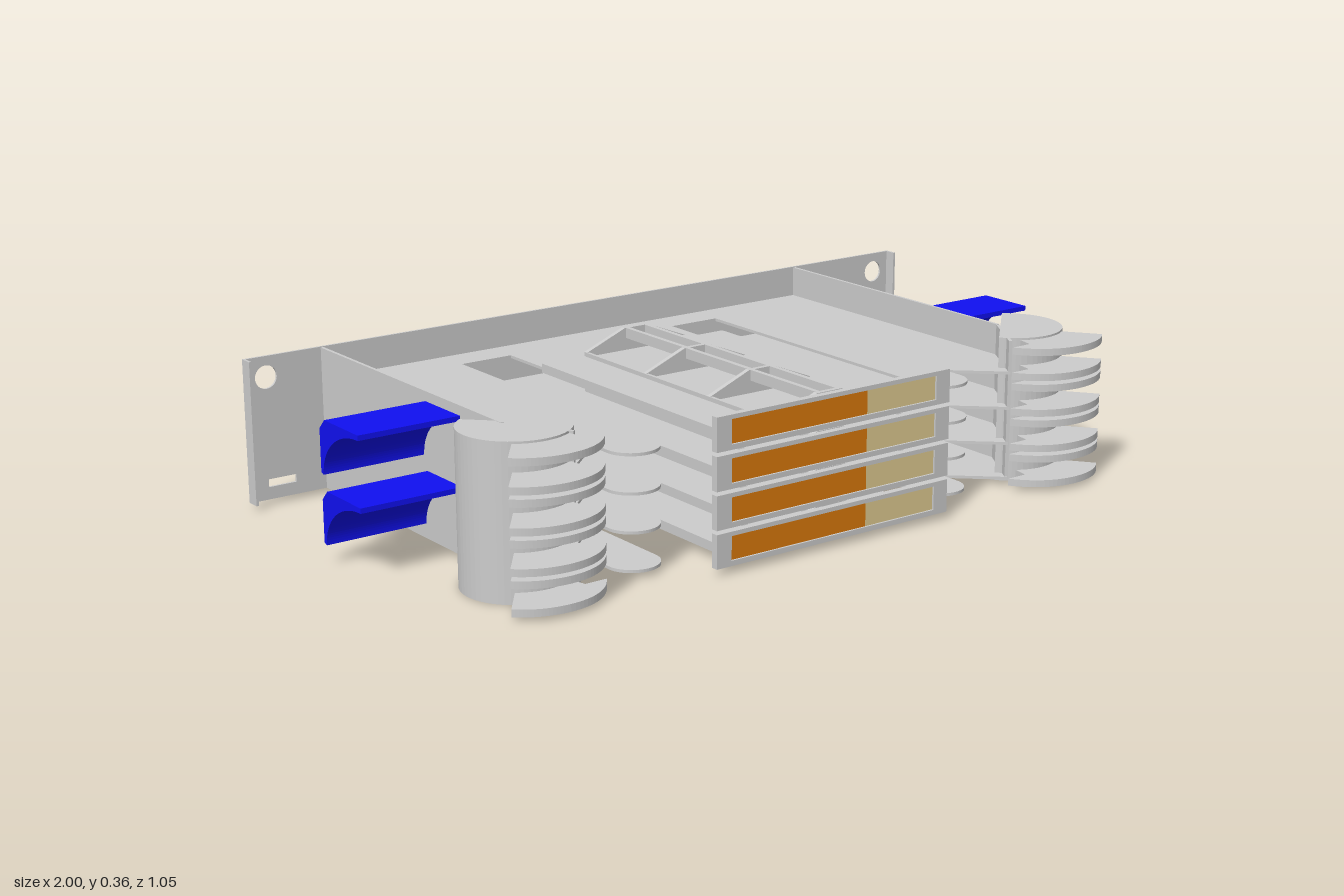
import * as THREE from 'three';

const mat = (color) => new THREE.MeshStandardMaterial({ color, side: THREE.DoubleSide });
const grey = mat(0xcccccc), blue = mat(0x1010f0), orange = mat(0xd9780c), cream = mat(0xdeca90);
const CX = -0.04; // centre line of the chassis
const LEVELS = [0.018, 0.105, 0.192, 0.279]; // floor height of each tray

function add(parent, name, geometry, material = grey) {
  const mesh = new THREE.Mesh(geometry, material);
  mesh.name = name;
  parent.add(mesh);
  return mesh;
}

// Box given by its minimum and maximum corners
function box(parent, name, x0, x1, y0, y1, z0, z1, material) {
  const g = new THREE.BoxGeometry(x1 - x0, y1 - y0, z1 - z0);
  g.translate((x0 + x1) / 2, (y0 + y1) / 2, (z0 + z1) / 2);
  return add(parent, name, g, material);
}

// Horizontal slab from a plan outline drawn in (x, -z)
function slab(parent, name, shape, y, h) {
  const g = new THREE.ExtrudeGeometry(shape, { depth: h, bevelEnabled: false, curveSegments: 16 });
  g.rotateX(-Math.PI / 2).translate(0, y, 0);
  return add(parent, name, g);
}

function rectPath(x0, x1, y0, y1, Type = THREE.Shape) {
  return new Type([[x0, y0], [x1, y0], [x1, y1], [x0, y1]].map((p) => new THREE.Vector2(...p)));
}

// Plan of a shelf: two rounded side tongues, two long slots and a middle tongue
function shelfShape() {
  const s = new THREE.Shape();
  const b = 0.515, c = CX;
  s.moveTo(c - 0.71, b);
  s.lineTo(c - 0.71, -0.27);
  s.lineTo(c - 0.62, -0.41);
  s.lineTo(c - 0.505, -0.305);
  s.lineTo(c - 0.505, -0.36);
  s.absarc(c - 0.4425, -0.36, 0.0625, Math.PI, Math.PI * 2, false);
  s.lineTo(c - 0.38, 0.43);
  s.lineTo(c - 0.242, 0.43);
  s.lineTo(c - 0.242, -0.48);
  s.lineTo(c + 0.242, -0.48);
  s.lineTo(c + 0.242, 0.43);
  s.lineTo(c + 0.38, 0.43);
  s.lineTo(c + 0.38, -0.36);
  s.absarc(c + 0.4425, -0.36, 0.0625, Math.PI, Math.PI * 2, false);
  s.lineTo(c + 0.505, -0.305);
  s.lineTo(c + 0.62, -0.41);
  s.lineTo(c + 0.71, -0.27);
  s.lineTo(c + 0.71, b);
  return s;
}

// Plan of a tray, flaring out towards its front frame
function trayShape() {
  const s = new THREE.Shape();
  s.moveTo(-0.31, 0.25);
  s.lineTo(-0.31, -0.45);
  s.quadraticCurveTo(-0.312, -0.495, -0.36, -0.497);
  s.lineTo(0.28, -0.497);
  s.quadraticCurveTo(0.232, -0.495, 0.225, -0.45);
  s.lineTo(0.225, 0.25);
  return s;
}

function makeTray() {
  const tray = new THREE.Group();
  tray.name = 'tray';
  slab(tray, 'trayFloor', trayShape(), 0.004, 0.022);
  // Front frame with its coloured label strips
  const frame = rectPath(-0.37, 0.29, 0.002, 0.08);
  frame.holes.push(rectPath(-0.33, 0.25, 0.014, 0.07, THREE.Path));
  const g = new THREE.ExtrudeGeometry(frame, { depth: 0.017, bevelEnabled: false });
  add(tray, 'trayFrame', g.translate(0, 0, 0.497));
  box(tray, 'orangeLabel', -0.33, 0.05, 0.014, 0.07, 0.499, 0.509, orange);
  box(tray, 'creamLabel', 0.05, 0.25, 0.014, 0.07, 0.499, 0.509, cream);
  // Trapezoid ribs across the tray
  for (const z of [-0.242, 0, 0.245, 0.487]) {
    const rib = new THREE.Shape(
      [[-0.19, 0.02], [0.1, 0.02], [0.1, 0.036], [-0.01, 0.08], [-0.08, 0.08], [-0.19, 0.036]]
        .map((p) => new THREE.Vector2(...p)));
    const r = new THREE.ExtrudeGeometry(rib, { depth: 0.012, bevelEnabled: false });
    add(tray, 'trayRib', r.translate(0, 0, z - 0.006));
  }
  // Long rails joining the ribs
  for (const x of [-0.07, -0.015]) box(tray, 'trayRail', x - 0.006, x + 0.006, 0.055, 0.08, -0.242, 0.49);
  for (const x of [-0.187, 0.097]) box(tray, 'trayEdgeRail', x - 0.004, x + 0.004, 0.02, 0.036, -0.242, 0.49);
  return tray;
}

// Half-round cable post with pairs of curved fingers, for the +x side
function makeCableGuide() {
  const guide = new THREE.Group();
  guide.name = 'cableGuide';
  const post = new THREE.Shape();
  post.absarc(0.685, -0.295, 0.125, Math.PI * 1.19, Math.PI * 2.31, false);
  const postMesh = slab(guide, 'guidePost', post, 0.003, 0.354);
  postMesh.geometry.computeVertexNormals();
  const finger = new THREE.Shape();
  finger.moveTo(0.555, -0.44);
  finger.quadraticCurveTo(0.605, -0.522, 0.7, -0.522);
  finger.quadraticCurveTo(0.77, -0.52, 0.815, -0.475);
  finger.lineTo(0.755, -0.395);
  finger.quadraticCurveTo(0.7, -0.425, 0.62, -0.39);
  finger.lineTo(0.61, -0.44);
  for (const y of LEVELS) {
    for (const dy of [-0.005, 0.056]) slab(guide, 'guideFinger', finger, y + dy, 0.017);
  }
  return guide;
}

// Curved blue bend limiter, extruded along x
function limiterGeometry(x0, length) {
  const s = new THREE.Shape(); // drawn in (-z, y)
  s.moveTo(-0.105, 0.335);
  s.lineTo(0.04, 0.335);
  s.lineTo(0.062, 0.312);
  s.lineTo(0.062, 0.214);
  s.lineTo(0.052, 0.21);
  s.absellipse(-0.105, 0.21, 0.157, 0.113, 0, Math.PI / 2, false);
  const g = new THREE.ExtrudeGeometry(s, { depth: length, bevelEnabled: false, curveSegments: 16 });
  return g.rotateY(Math.PI / 2).translate(x0, 0, 0);
}

export function createModel() {
  const model = new THREE.Group();
  model.name = 'rackPanel';

  // Back plate with keyholes and slots at both ends
  const plate = rectPath(-0.95, 0.997, 0.015, 0.36);
  for (const [x, sx] of [[0.942, 1], [-0.895, -1]]) {
    const key = new THREE.Path();
    key.absarc(x, 0.31, 0.028, 0, Math.PI * 2, false);
    plate.holes.push(key, rectPath(x - 0.03 * sx - 0.036, x - 0.03 * sx + 0.036, 0.045, 0.064, THREE.Path));
  }
  const pg = new THREE.ExtrudeGeometry(plate, { depth: 0.006, bevelEnabled: false });
  add(model, 'backPlate', pg.translate(0, 0, -0.52));
  for (const x of [-0.95, 0.991]) box(model, 'endFlange', x, x + 0.006, 0.015, 0.36, -0.515, -0.485);

  // Side walls, each with an angled front end
  for (const s of [-1, 1]) {
    const x = CX + s * 0.707;
    box(model, 'sideWall', x - 0.004, x + 0.004, 0.015, 0.358, -0.515, 0.27);
    const g = new THREE.BoxGeometry(0.008, 0.34, 0.165);
    g.rotateY(-s * 0.57).translate(x - s * 0.043, 0.187, 0.338);
    add(model, 'angledWall', g);
  }

  // Stacked shelves, trays and rear tabs
  for (const y of LEVELS) {
    slab(model, 'shelf', shelfShape(), y - 0.003, 0.007);
    const tray = makeTray();
    tray.position.y = y;
    model.add(tray);
    for (const [x, w] of [[-0.6, 0.06], [-0.26, 0.08], [0.17, 0.08], [0.52, 0.06]]) {
      box(model, 'rearTab', x - w / 2, x + w / 2, y, y + 0.008, -0.528, -0.515);
    }
  }

  // Cable guides, mirrored left and right
  model.add(makeCableGuide());
  const mirrored = makeCableGuide();
  mirrored.scale.x = -1;
  mirrored.position.x = -0.05;
  model.add(mirrored);

  // Bend limiters, two on each side
  for (const x of [-1, 0.67]) {
    for (const drop of [0, 0.16]) add(model, 'bendLimiter', limiterGeometry(x, 0.25), blue).position.y = -drop;
  }
  return model;
}
